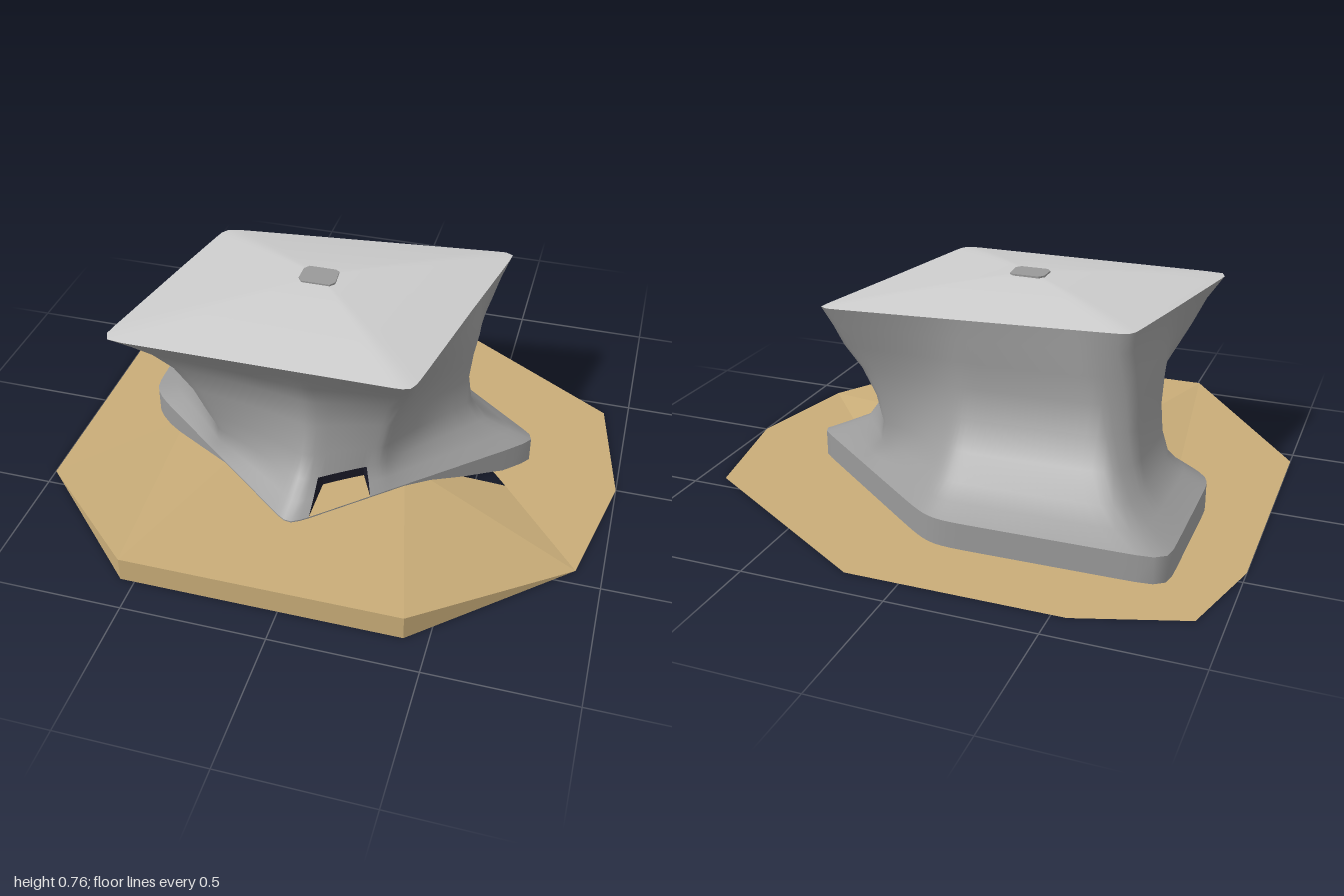
import * as THREE from 'three';

const COLS = 144;                 // columns around the house, 2.5 degrees each
const DOOR = [26, 36];            // columns spanned by the doorway (65 to 90 degrees)
const DOOR_TOP = 0.175, FLOOR = 0.095;

// Plan outlines as [x, z] corners
const BASE = [[-0.79, -0.63], [0.02, -0.64], [0.72, -0.1], [-0.06, 0.62], [-0.79, 0.0]];
const ROOF = [[-0.57, -0.30], [0.53, -0.42], [0.35, 0.50], [-0.73, 0.50]];

// Height rows: y, blend from base plan to roof plan, x min, x max, z min, z max
const ROWS = [
  [FLOOR, 0, -0.785, 0.67, -0.625, 0.56],
  [0.13, 0.08, -0.70, 0.59, -0.56, 0.495],
  [DOOR_TOP, 0.2, -0.64, 0.495, -0.495, 0.43],
  [0.25, 0.38, -0.612, 0.442, -0.42, 0.385],
  [0.35, 0.55, -0.60, 0.428, -0.37, 0.35],
  [0.45, 0.7, -0.603, 0.438, -0.342, 0.347],
  [0.54, 0.82, -0.62, 0.455, -0.345, 0.39],
  [0.62, 0.92, -0.655, 0.48, -0.367, 0.45],
  [0.69, 1, -0.703, 0.508, -0.395, 0.50],
];

// Radius of a convex outline with softened corners
function radius(outline, c, s, power) {
  let sum = 0;
  outline.forEach((p, i) => {
    const q = outline[(i + 1) % outline.length];
    const nx = q[1] - p[1], nz = p[0] - q[0];
    sum += Math.max(0, (nx * c + nz * s) / (nx * p[0] + nz * p[1])) ** power;
  });
  return sum ** (-1 / power);
}

// One cross-section, stretched to fill its bounds
function section([y, blend, x0, x1, z0, z1]) {
  const ring = [];
  for (let i = 0; i < COLS; i++) {
    const a = i / COLS * Math.PI * 2, c = Math.cos(a), s = Math.sin(a);
    const r = THREE.MathUtils.lerp(radius(BASE, c, s, 26), radius(ROOF, c, s, 30), blend);
    ring.push(new THREE.Vector3(c * r, y, s * r));
  }
  const box = new THREE.Box3().setFromPoints(ring);
  ring.forEach((p) => {
    p.x *= p.x < 0 ? x0 / box.min.x : x1 / box.max.x;
    p.z *= p.z < 0 ? z0 / box.min.z : z1 / box.max.z;
  });
  return ring;
}

// Skin between rows of points; cells for which skip is true stay open
function skin(rows, closed = true, skip = () => false) {
  const n = rows[0].length, index = [];
  for (let j = 0; j < rows.length - 1; j++) {
    for (let i = 0; i < (closed ? n : n - 1); i++) {
      if (skip(i, j)) continue;
      const a = j * n + i, b = j * n + (i + 1) % n;
      index.push(a, a + n, b, b, a + n, b + n);
    }
  }
  const g = new THREE.BufferGeometry().setFromPoints(rows.flat());
  g.setIndex(index);
  g.computeVertexNormals();
  return g;
}

// Flat polygons, listed clockwise as seen from outside
function polygons(points, faces) {
  const out = [];
  faces.forEach((f) => {
    for (let k = 1; k < f.length - 1; k++) out.push(points[f[0]], points[f[k + 1]], points[f[k]]);
  });
  const g = new THREE.BufferGeometry().setFromPoints(out.map((p) => new THREE.Vector3(...p)));
  g.computeVertexNormals();
  return g;
}

// Height of the ground under the house
function groundHeight(x, z) {
  const right = (0.426 - 0.72 * x + 0.17 * z) / 0.273;
  const left = (0.56 * x + 0.18 * z + 0.36) / 0.21;
  return 0.09 * THREE.MathUtils.clamp(Math.min(right, left, z / 0.16), 0, 1);
}

function groundGeometry() {
  const points = [
    [-0.55, 0, -0.89], [0.19, 0, -0.89], [0.91, 0, -0.44], [1, 0, 0], [0.91, 0, 0.44],
    [0.42, 0.09, 0.88], [-0.55, 0.09, 0.88], [-1, 0, 0.44], [-1, 0, -0.44], [-0.91, 0, -0.77],
    // opening under the house
    [-0.52, 0, -0.54], [0.09, 0, -0.52], [0.61, 0, 0.08], [0.25, 0.09, 0.16],
    [-0.37, 0.09, 0.32], [-0.65, 0, 0.02],
    // foot of the front bank
    [0.42, 0, 0.88], [-0.55, 0, 0.88],
  ];
  return polygons(points, [
    [0, 1, 11, 10], [1, 2, 11], [2, 3, 12, 11], [3, 4, 12], [4, 5, 13, 12], [5, 6, 14, 13],
    [6, 7, 15, 14], [7, 8, 15], [8, 9, 10, 15], [9, 0, 10],
    [16, 5, 4], [16, 17, 6, 5], [17, 7, 6],
  ]);
}

export function createModel() {
  const material = (name, color) => {
    const m = new THREE.MeshStandardMaterial({ color, side: THREE.DoubleSide });
    m.name = name;
    return m;
  };
  const wallGrey = material('wallGrey', 0x999999);
  const roofGrey = material('roofGrey', 0xcccccc);
  const sand = material('sand', 0xc8ac78);
  const dark = material('doorDark', 0x1a1a28);

  const model = new THREE.Group();
  const add = (name, geometry, mat) => {
    const mesh = new THREE.Mesh(geometry, mat);
    mesh.name = name;
    model.add(mesh);
    return mesh;
  };

  add('ground', groundGeometry(), sand);

  // Waisted walls with the doorway left open
  const rings = ROWS.map(section);
  const [d0, d1] = DOOR;
  add('walls', skin(rings, true, (i, j) => j < 2 && i >= d0 && i < d1), wallGrey);

  // Upright plinth that follows the ground
  const foot = rings[0].map((p) => new THREE.Vector3(p.x, groundHeight(p.x, p.z), p.z));
  add('plinth', skin([foot, rings[0]]), wallGrey);

  // Doorway recess: back and ceiling, then the two jambs
  const inner = rings[2].slice(d0, d1 + 1).map((p) => p.clone().multiply(new THREE.Vector3(0.86, 1, 0.86)));
  const innerFloor = inner.map((p) => p.clone().setY(FLOOR));
  add('doorBack', skin([innerFloor, inner], false), dark);
  add('doorCeiling', skin([inner, rings[2].slice(d0, d1 + 1)], false), dark);
  [[d0, 0], [d1, d1 - d0]].forEach(([col, k]) => {
    const outer = rings.slice(0, 3).map((r) => r[col]);
    const back = outer.map((p) => inner[k].clone().setY(p.y));
    add('doorJamb', skin([outer, back], false), dark);
  });

  // Low domed roof rising to an off-centre peak
  const rim = rings[rings.length - 1], peak = new THREE.Vector3(-0.095, 0.69, 0.04);
  const roofRows = [1, 0.85, 0.7, 0.55, 0.4, 0.28, 0.18, 0.08, 0.001].map((s) =>
    rim.map((p) => peak.clone().lerp(p, s).setY(0.69 + 0.069 * (1 - s ** 1.35))));
  add('roof', skin(roofRows), roofGrey);

  // Small hatch on the peak
  const h = new THREE.Shape([[-0.065, -0.03], [-0.05, -0.05], [0.05, -0.05], [0.065, -0.03],
    [0.06, 0.04], [0.045, 0.05], [-0.05, 0.05], [-0.065, 0.03]].map((p) => new THREE.Vector2(...p)));
  const hatch = add('roofHatch', new THREE.ExtrudeGeometry(h, { depth: 0.008, bevelEnabled: false }), wallGrey);
  hatch.rotation.x = -Math.PI / 2;
  hatch.position.set(peak.x, 0.753, peak.z);

  return model;
}
